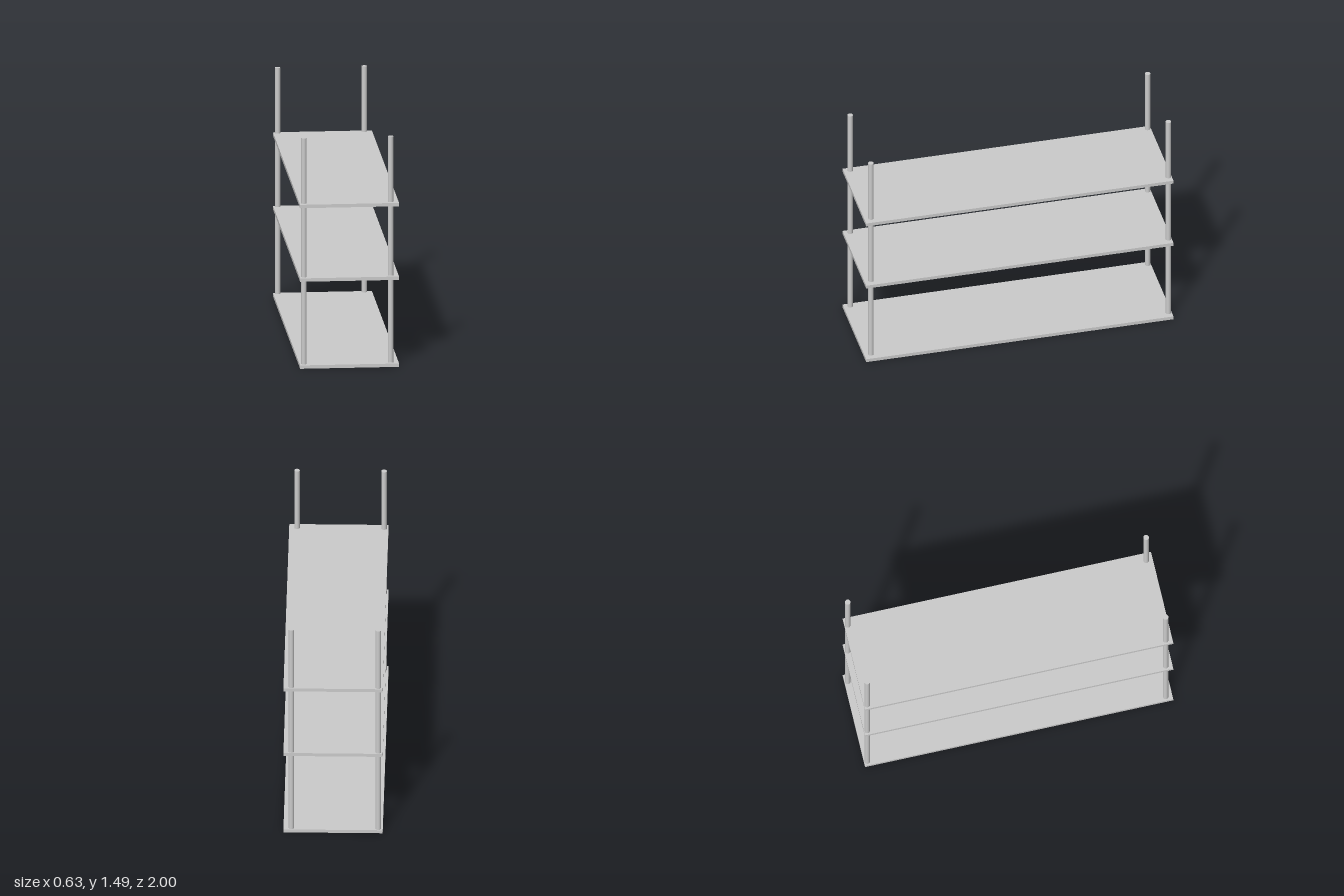
import * as THREE from 'three';

export function createModel() {
  const group = new THREE.Group();
  group.name = 'shelfUnit';
  const material = new THREE.MeshStandardMaterial({ color: 0xcccccc });
  const thickness = 0.022, height = 1.49, radius = 0.0175;

  const add = (name, geometry, x, y, z) => {
    const mesh = new THREE.Mesh(geometry, material);
    mesh.name = name;
    mesh.position.set(x, y, z);
    group.add(mesh);
  };

  // Three flat boards, placed by their undersides
  const board = new THREE.BoxGeometry(0.628, thickness, 2);
  const shelves = { bottomShelf: 0, middleShelf: 0.565, topShelf: 1.043 };
  for (const [name, y] of Object.entries(shelves)) add(name, board, 0, y + thickness / 2, 0);

  // Four round posts standing on the bottom board, slightly off-centre
  const postHeight = height - thickness / 2;
  const post = new THREE.CylinderGeometry(radius, radius, postHeight, 32);
  for (const [side, x] of [['Right', -0.286], ['Left', 0.264]]) {
    for (const [end, z] of [['front', 0.957], ['back', -0.979]]) {
      add(`${end}${side}Post`, post, x, height - postHeight / 2, z);
    }
  }
  return group;
}
